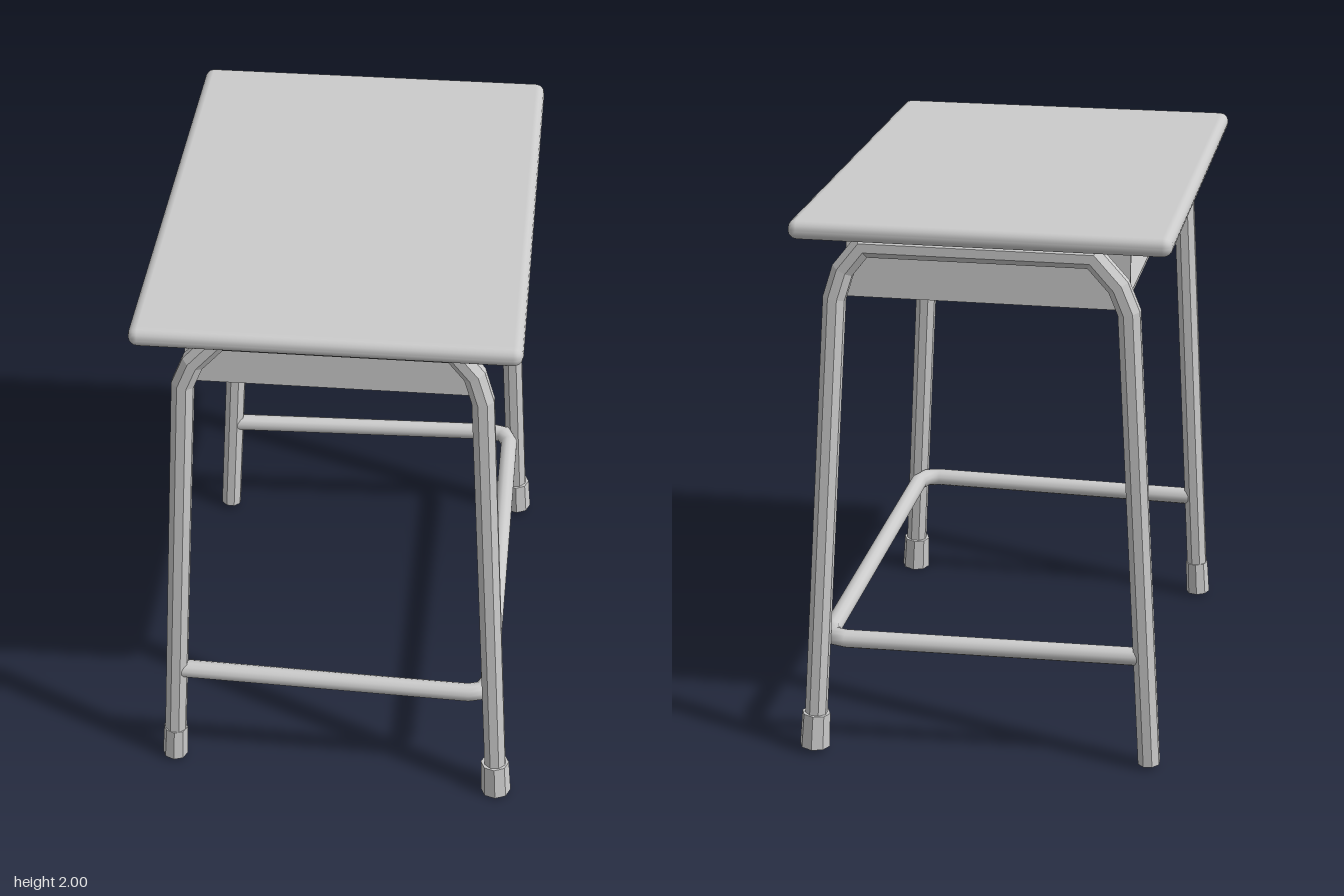
import * as THREE from 'three';
import { RoundedBoxGeometry } from 'three/addons/geometries/RoundedBoxGeometry.js';

const smooth = new THREE.MeshStandardMaterial({ color: 0xcccccc });
const flat = new THREE.MeshStandardMaterial({ color: 0xcccccc, flatShading: true });
const V = (x, y, z) => new THREE.Vector3(x, y, z);

function add(parent, name, geometry, material, x = 0, y = 0, z = 0) {
  const mesh = new THREE.Mesh(geometry, material);
  mesh.name = name;
  mesh.position.set(x, y, z);
  parent.add(mesh);
  return mesh;
}

// Straight segments through the given points, so bends stay faceted
function polyline(points) {
  const path = new THREE.CurvePath();
  for (let i = 1; i < points.length; i++) path.add(new THREE.LineCurve3(points[i - 1], points[i]));
  return path;
}

// Tube of mitred rings, one ring per point; the path lies close to the plane with the given normal
function bentTube(points, radius, sides, normal) {
  const pos = [], index = [], n = points.length;
  const segments = polyline(points).curves;
  points.forEach((p, i) => {
    const a = segments[Math.max(i - 1, 0)].getTangent(0);
    const b = segments[Math.min(i, n - 2)].getTangent(0);
    const t = a.clone().add(b).normalize();
    const side = new THREE.Vector3().crossVectors(normal, t).normalize();
    const up = new THREE.Vector3().crossVectors(t, side);
    const mitre = radius / Math.max(t.dot(a), 0.5);
    for (let k = 0; k < sides; k++) {
      const ang = ((k + 0.5) / sides) * Math.PI * 2;
      const v = p.clone().addScaledVector(side, Math.cos(ang) * mitre).addScaledVector(up, Math.sin(ang) * radius);
      pos.push(v.x, v.y, v.z);
    }
  });
  for (let i = 0; i < n - 1; i++) {
    for (let k = 0; k < sides; k++) {
      const a = i * sides + k, b = i * sides + (k + 1) % sides;
      index.push(a, b, a + sides, b, b + sides, a + sides);
    }
  }
  // End caps
  const last = (n - 1) * sides;
  for (let k = 1; k < sides - 1; k++) {
    index.push(0, k + 1, k, last, last + k, last + k + 1);
  }
  const g = new THREE.BufferGeometry();
  g.setAttribute('position', new THREE.Float32BufferAttribute(pos, 3));
  g.setIndex(index);
  g.computeVertexNormals();
  return g;
}

export function createModel() {
  const desk = new THREE.Group();
  desk.name = 'schoolDesk';

  // Slab with rounded edges
  add(desk, 'desktop', new RoundedBoxGeometry(1.3, 0.07, 1.85, 2, 0.033), smooth, -0.014, 1.965, 0);

  // Book tray under the top, open towards -x
  const tray = new THREE.Group();
  tray.name = 'bookTray';
  desk.add(tray);
  const sideShape = new THREE.Shape([
    new THREE.Vector2(-0.505, 1.935), new THREE.Vector2(-0.505, 1.715),
    new THREE.Vector2(-0.48, 1.69), new THREE.Vector2(0.475, 1.69), new THREE.Vector2(0.475, 1.935),
  ]);
  for (const s of [1, -1]) {
    add(tray, 'traySide', new THREE.ExtrudeGeometry(sideShape, { depth: 0.012, bevelEnabled: false }), flat, 0, 0, s * 0.734 - 0.006);
  }
  add(tray, 'trayFloor', new THREE.BoxGeometry(0.96, 0.012, 1.47), flat, -0.005, 1.696, 0);
  add(tray, 'trayPanel', new THREE.BoxGeometry(0.012, 0.245, 1.48), flat, 0.469, 1.8125, 0);

  // Two arched leg frames; the +x legs splay outwards
  for (const s of [1, -1]) {
    const frame = new THREE.Group();
    frame.name = s > 0 ? 'frontFrame' : 'backFrame';
    desk.add(frame);
    const z = s > 0 ? 0.772 : 0.79;
    const footY = s > 0 ? 0.005 : 0.02;
    const points = [
      V(-0.603, 0.015, s * 0.778), V(-0.51, 1.7, s * z), V(-0.473, 1.79, s * z), V(-0.385, 1.888, s * z),
      V(0.405, 1.888, s * z), V(0.475, 1.8, s * z), V(0.506, 1.7, s * (z + 0.006)), V(0.606, 0.02, s * 0.858),
    ];
    add(frame, 'legArch', bentTube(points, 0.041, 8, V(0, 0, 1)), flat);

    // Rubber feet aligned with the legs
    const foot = (name, bottom, top, radius) => {
      const dir = top.clone().sub(bottom).normalize();
      const mesh = add(frame, name, new THREE.CylinderGeometry(radius * 0.94, radius, 0.13, 8), flat);
      mesh.quaternion.setFromUnitVectors(V(0, 1, 0), dir);
      mesh.position.copy(bottom).addScaledVector(dir, 0.065);
    };
    foot('leftFoot', V(0.606, footY, s * 0.858), points[6], 0.055);
    if (s > 0) foot('rightFoot', V(-0.603, 0.012, 0.778), points[1], 0.047);
  }

  // U-shaped foot rail, open towards -x
  const y = 0.428;
  const half = [V(-0.58, y, 0.777), V(0.49, y, 0.81), V(0.54, y, 0.795), V(0.563, y, 0.74)];
  const rail = [...half, ...half.map((p) => V(p.x, p.y, -p.z)).reverse()];
  add(desk, 'footRail', bentTube(rail, 0.033, 12, V(0, 1, 0)), smooth);

  return desk;
}
